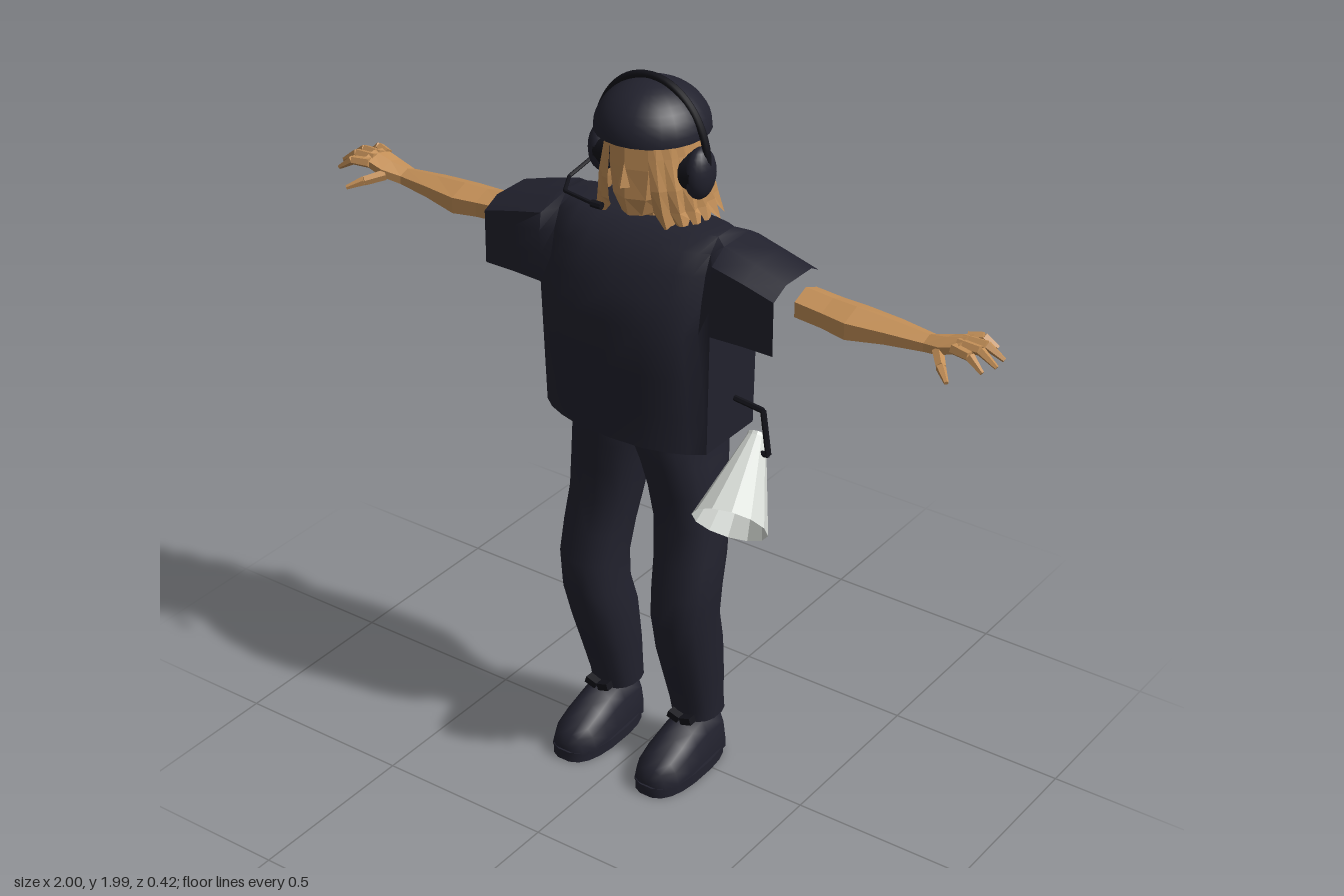
import * as THREE from 'three';
import { toCreasedNormals } from 'three/addons/utils/BufferGeometryUtils.js';

const V = (x, y, z) => new THREE.Vector3(x, y, z);
const cloth = new THREE.MeshStandardMaterial({ color: 0x22222e });
const black = new THREE.MeshStandardMaterial({ color: 0x121219 });
const skin = new THREE.MeshStandardMaterial({ color: 0xc49058, side: THREE.DoubleSide });
const white = new THREE.MeshStandardMaterial({ color: 0xd5d9d4, side: THREE.DoubleSide });
cloth.name = 'dark cloth';
black.name = 'black plastic';
skin.name = 'tan skin and hair';
white.name = 'pale horn';

function add(parent, name, geo, mat) {
  const m = new THREE.Mesh(geo, mat);
  m.name = name;
  parent.add(m);
  return m;
}

// Skin between equal rings of points, faces turned outward
function loft(rings, { caps = false, closed = true, crease = 0.8 } = {}) {
  const n = rings[0].length, tris = [];
  for (let i = 0; i + 1 < rings.length; i++) {
    for (let j = 0; j < (closed ? n : n - 1); j++) {
      const k = (j + 1) % n, a = rings[i][j], b = rings[i][k], c = rings[i + 1][k], d = rings[i + 1][j];
      tris.push([a, b, c], [a, c, d]);
    }
  }
  if (caps) {
    [rings[0], rings[rings.length - 1]].forEach((r, e) => {
      const mid = r.reduce((s, p) => s.add(p), V(0, 0, 0)).divideScalar(n);
      r.forEach((p, j) => tris.push(e ? [p, r[(j + 1) % n], mid] : [r[(j + 1) % n], p, mid]));
    });
  }
  const o = rings.flat().reduce((s, p) => s.add(p), V(0, 0, 0)).divideScalar(n * rings.length);
  let vol = 0;
  for (const [a, b, c] of tris) vol += a.clone().sub(o).dot(b.clone().sub(o).cross(c.clone().sub(o)));
  const pts = tris.flatMap(([a, b, c]) => (vol < 0 ? [a, c, b] : [a, b, c]));
  const g = new THREE.BufferGeometry().setFromPoints(pts);
  g.computeVertexNormals();
  return crease ? toCreasedNormals(g, crease) : g;
}

// Rounded ring inside a rectangle; place() turns the two coordinates into a point
function oval(u0, u1, v0, v1, n, p, place) {
  const f = (t) => Math.sign(t) * Math.pow(Math.abs(t), 2 / p);
  return Array.from({ length: n }, (_, i) => {
    const a = ((i + 0.5) / n) * Math.PI * 2;
    return place((u0 + u1) / 2 + ((u1 - u0) / 2) * f(Math.cos(a)), (v0 + v1) / 2 + ((v1 - v0) / 2) * f(Math.sin(a)));
  });
}

// Tapered rod between two points
function rod(parent, name, a, b, r0, r1, sides, mat, open = false) {
  const d = b.clone().sub(a);
  let g = new THREE.CylinderGeometry(r1, r0, d.length(), sides, 1, open);
  if (sides < 16) g = toCreasedNormals(g, 0.1);
  const m = add(parent, name, g, mat);
  m.position.copy(a).addScaledVector(d, 0.5);
  m.quaternion.setFromUnitVectors(V(0, 1, 0), d.normalize());
  return m;
}

// Shirt: one skin running from sleeve opening to sleeve opening
function shirt(g) {
  const profile = [[1.05, 0.17], [1.15, 0.172], [1.26, 0.18], [1.39, 0.192], [1.47, 0.17], [1.54, 0.142], [1.59, 0.105], [1.625, 0.05],
    [1.625, -0.07], [1.6, -0.11], [1.55, -0.14], [1.47, -0.165], [1.39, -0.18], [1.26, -0.185], [1.15, -0.19], [1.05, -0.19]];
  const body = (x, s, flare) => profile.map(([y, z]) => V(x + flare * Math.max(0, 1.39 - y), y, z * s));
  const sleeve = (x, h, w) => profile.map(([y, z]) =>
    V(x, 1.39 + Math.max(0, y - 1.39) * h, Math.sign(z) * Math.min(Math.abs(z) * 0.95, w)));
  const half = [body(0.1, 0.97, 0), body(0.165, 0.86, 0.01), body(0.205, 0.74, 0.03), body(0.23, 0.58, 0.06),
    sleeve(0.26, 0.95, 0.105), sleeve(0.35, 0.85, 0.1), sleeve(0.44, 0.73, 0.1)];
  const other = half.map((r) => r.map((p) => V(-p.x, p.y, p.z))).reverse();
  add(g, 'shirt', loft([...other, body(0, 1, 0), ...half], { crease: 0.9 }), cloth);
}

// Trouser leg rows: y, inner x, outer x, front z, back z
function leg(g, s) {
  const rows = [[1.08, -0.02, 0.2, 0.13, -0.15], [1.02, -0.01, 0.2, 0.13, -0.155], [0.97, 0.008, 0.208, 0.12, -0.14],
    [0.88, 0.025, 0.22, 0.1, -0.11], [0.78, 0.042, 0.23, 0.09, -0.1], [0.68, 0.055, 0.238, 0.105, -0.075],
    [0.59, 0.062, 0.238, 0.125, -0.055], [0.5, 0.062, 0.228, 0.13, -0.06], [0.4, 0.058, 0.22, 0.105, -0.09],
    [0.28, 0.062, 0.21, 0.065, -0.105], [0.19, 0.066, 0.203, 0.035, -0.11], [0.145, 0.068, 0.202, 0.025, -0.115]];
  add(g, 'trouserLeg', loft(rows.map(([y, a, b, f, k]) => oval(a, b, k, f, 16, 2.4, (x, z) => V(s * x, y, z))), { caps: true }), cloth);

  // Shoe rows: z, half width, top y
  const shoe = [[-0.108, 0.045, 0.12], [-0.08, 0.066, 0.155], [0.0, 0.07, 0.165], [0.05, 0.072, 0.15], [0.1, 0.075, 0.128],
    [0.15, 0.07, 0.1], [0.185, 0.052, 0.075], [0.2, 0.03, 0.05]];
  add(g, 'shoe', loft(shoe.map(([z, w, t]) => oval(-w, w, 0.02 - t, t, 16, 2.4, (x, y) => V(s * 0.138 + x, Math.max(0.02, y), z))), { caps: true }), cloth);
  const sole = [0, 0.03].map((y) => oval(0.06, 0.216, -0.115, 0.207, 20, 2.6, (x, z) => V(s * x, y, z)));
  add(g, 'shoeSole', loft(sole, { caps: true }), cloth);
  for (const k of [-1, 1]) {
    const lace = add(g, 'shoeLace', new THREE.BoxGeometry(0.035, 0.02, 0.025), black);
    lace.position.set(s * 0.138 + k * 0.02, 0.16, 0.04);
    lace.rotation.z = k * 0.3;
  }
}

// Arm rows: x, bottom y, top y, back z, front z
function arm(g, s) {
  const rows = [[0.45, 1.448, 1.53, -0.085, 0.03], [0.53, 1.445, 1.525, -0.083, 0.035], [0.6, 1.437, 1.525, -0.085, 0.045],
    [0.7, 1.455, 1.517, -0.075, 0.027], [0.8, 1.465, 1.51, -0.058, 0.01], [0.85, 1.48, 1.522, -0.064, 0.03], [0.905, 1.505, 1.54, -0.062, 0.035]];
  add(g, 'arm', loft(rows.map(([x, y0, y1, z0, z1]) => oval(z0, z1, y0, y1, 6, 2, (z, y) => V(s * x, y, z))), { caps: true, crease: 0 }), skin);
  // Fingers and thumb: base, knuckle, tip
  const fingers = [[[0.89, 1.52, -0.05], [0.925, 1.527, -0.06], [0.96, 1.505, -0.068]], [[0.89, 1.525, -0.025], [0.95, 1.525, -0.03], [0.996, 1.498, -0.034]],
    [[0.89, 1.525, 0], [0.95, 1.525, 0.002], [0.997, 1.495, 0.004]], [[0.89, 1.52, 0.022], [0.94, 1.52, 0.034], [0.98, 1.492, 0.043]],
    [[0.845, 1.495, 0.015], [0.88, 1.485, 0.06], [0.915, 1.468, 0.092]]];
  for (const f of fingers) {
    const [a, b, c] = f.map(([x, y, z]) => V(s * x, y, z));
    rod(g, 'finger', a, b, 0.015, 0.013, 5, skin);
    rod(g, 'fingerTip', b, c, 0.013, 0.006, 5, skin);
  }
}

function head(g) {
  // Face and neck rows: y, half width, front z, back z
  const rows = [[1.58, 0.055, 0.03, -0.1], [1.635, 0.055, 0.04, -0.1], [1.64, 0.05, 0.085, -0.11], [1.69, 0.08, 0.098, -0.12],
    [1.77, 0.095, 0.1, -0.13], [1.88, 0.09, 0.095, -0.12]];
  add(g, 'face', loft(rows.map(([y, w, f, b]) => oval(-w, w, b, f, 10, 2.2, (x, z) => V(x, y, z))), { caps: true, crease: 0 }), skin);
  const nose = add(g, 'nose', toCreasedNormals(new THREE.ConeGeometry(0.018, 0.06, 4), 0.1), skin);
  nose.position.set(0, 1.755, 0.1);

  // Hair sheet rows: y, half width, front and back depth
  const n = 34, start = 0.5;
  const hair = [[1.88, 0.112, 0.12, 0.12], [1.8, 0.122, 0.128, 0.128], [1.72, 0.138, 0.13, 0.14], [1.66, 0.146, 0.12, 0.16], [1.615, 0.158, 0.105, 0.178]];
  const rings = hair.map(([y, w, f, b], r) => Array.from({ length: n + 1 }, (_, i) => {
    const a = start + (i / n) * 2 * (Math.PI - start), lock = 1 + (i % 2 ? 0.025 : -0.025) * r / 2;
    const drop = r === 4 ? (i % 2 ? -0.018 : 0.022) + 0.008 * Math.sin(i * 2.3) : 0;
    return V(Math.sin(a) * w * lock, y + drop, -0.03 + Math.cos(a) * (Math.cos(a) > 0 ? f : b) * lock);
  }));
  add(g, 'hair', loft(rings, { closed: false, crease: 0 }), skin);

  // Cap dome with a flat underside
  const dome = add(g, 'cap', new THREE.SphereGeometry(1, 24, 10, 0, Math.PI * 2, 0, Math.PI / 2), cloth);
  const under = add(g, 'capUnderside', new THREE.CircleGeometry(1, 24).rotateX(Math.PI / 2), cloth);
  for (const m of [dome, under]) {
    m.position.set(0, 1.842, -0.02);
    m.scale.set(0.146, 0.123, 0.15);
  }
}

function headset(g) {
  const z = -0.015;
  const arc = Array.from({ length: 13 }, (_, i) => {
    const a = (i / 12) * Math.PI;
    return V(0.168 * Math.cos(a), 1.77 + 0.206 * Math.sin(a), z);
  });
  add(g, 'headband', new THREE.TubeGeometry(new THREE.CatmullRomCurve3(arc), 32, 0.01, 8), black);
  for (const s of [-1, 1]) {
    const pad = rod(g, 'earPad', V(s * 0.108, 1.755, z), V(s * 0.145, 1.755, z), 0.05, 0.05, 20, black);
    pad.scale.set(1, 1, 1);
    const cup = add(g, 'earCup', new THREE.SphereGeometry(1, 18, 12), cloth);
    cup.position.set(s * 0.145, 1.755, z);
    cup.scale.set(0.035, 0.068, 0.05);
  }
  const boom = [V(-0.17, 1.72, 0), V(-0.175, 1.7, 0.09), V(-0.14, 1.695, 0.155), V(-0.05, 1.69, 0.165)];
  for (let i = 0; i < 3; i++) rod(g, 'microphoneBoom', boom[i], boom[i + 1], 0.005, 0.005, 8, black);
  rod(g, 'microphone', boom[3], V(-0.02, 1.69, 0.165), 0.01, 0.01, 8, black);
}

function megaphone(g) {
  const tail = V(0.305, 1.05, -0.045), mouth = V(0.353, 0.902, 0.142);
  rod(g, 'horn', tail, mouth, 0.026, 0.1, 12, white, true);
  const back = tail.clone().lerp(mouth, -0.04);
  rod(g, 'hornBack', back, tail, 0.026, 0.026, 12, white);
  rod(g, 'hornCore', tail, tail.clone().lerp(mouth, 0.35), 0.012, 0.016, 8, black);
  // Pistol grip and strap bracket
  rod(g, 'grip', V(0.275, 0.99, -0.015), V(0.262, 0.84, -0.018), 0.018, 0.02, 6, black);
  const strap = [V(0.22, 1.165, -0.02), V(0.34, 1.152, -0.02), V(0.368, 1.04, -0.005), V(0.31, 1.03, -0.01)];
  for (let i = 0; i < 3; i++) rod(g, 'strap', strap[i], strap[i + 1], 0.008, 0.008, 6, black);
}

export function createModel() {
  const model = new THREE.Group();
  const part = (name, build, ...args) => {
    const g = new THREE.Group();
    g.name = name;
    build(g, ...args);
    model.add(g);
  };
  part('torso', shirt);
  for (const [side, s] of [['left', 1], ['right', -1]]) {
    part(side + 'Leg', leg, s);
    part(side + 'Arm', arm, s);
  }
  part('head', head);
  part('headset', headset);
  part('megaphone', megaphone);
  return model;
}
